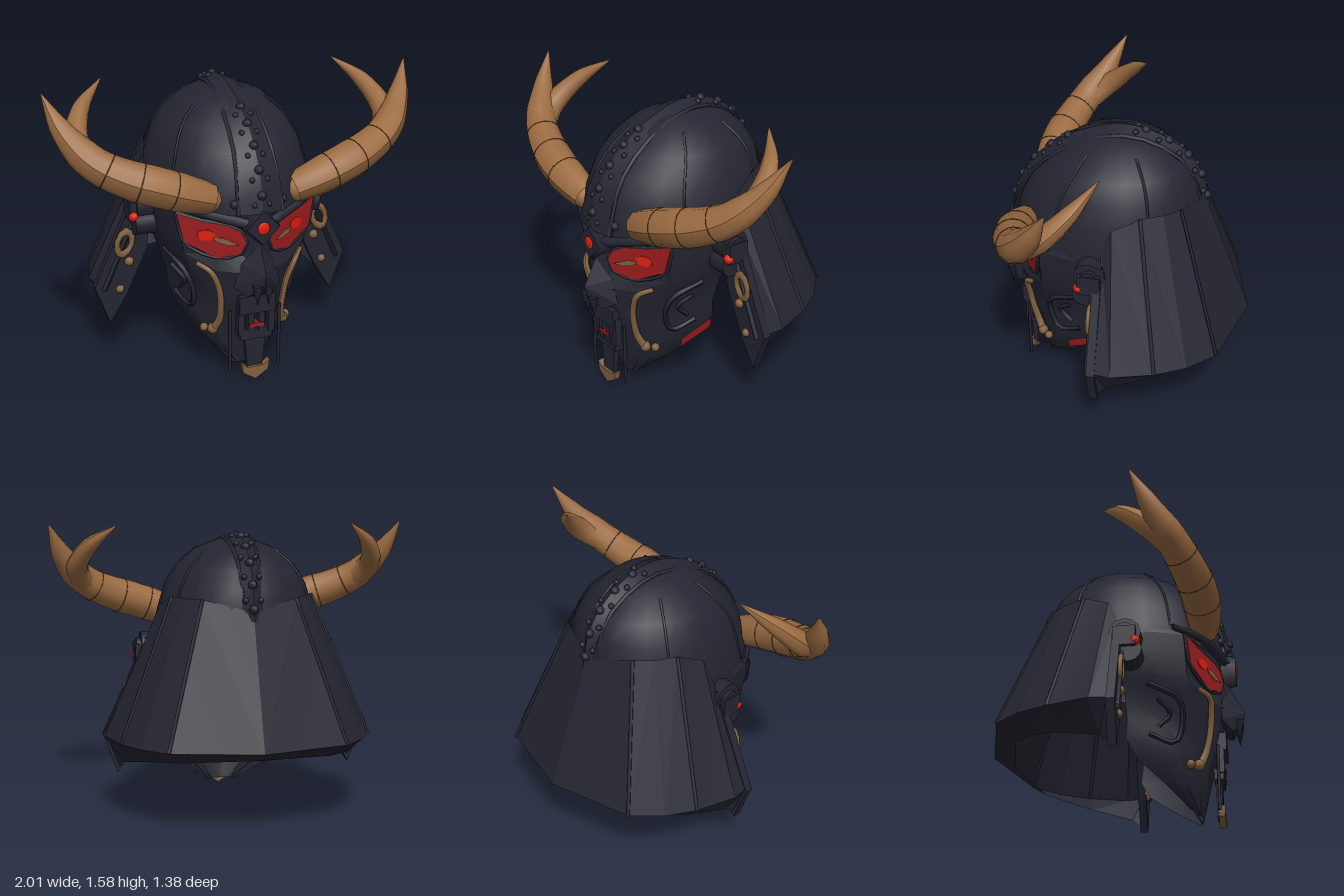
import * as THREE from 'three';
import { toCreasedNormals } from 'three/addons/utils/BufferGeometryUtils.js';
import { ConvexGeometry } from 'three/addons/geometries/ConvexGeometry.js';

const V = (p) => new THREE.Vector3(...p);
const material = (name, color, side = THREE.FrontSide) => {
  const m = new THREE.MeshStandardMaterial({ color, side });
  m.name = name;
  return m;
};

// Surface through rows of points, creased between steep facets
function loft(rows, crease = 0.45) {
  const n = rows[0].length, index = [];
  for (let r = 0; r < rows.length - 1; r++) {
    for (let c = 0; c < n - 1; c++) {
      const a = r * n + c, b = a + 1, d = a + n, e = d + 1;
      index.push(a, d, b, b, d, e);
    }
  }
  const g = new THREE.BufferGeometry();
  g.setAttribute('position', new THREE.Float32BufferAttribute(rows.flat(2), 3));
  g.setIndex(index);
  return toCreasedNormals(g, crease);
}

// Mirror a geometry in x, keeping its faces outward
function mirrored(geo) {
  const g = geo.index ? geo.toNonIndexed() : geo.clone();
  for (const key of ['position', 'normal']) {
    const a = g.attributes[key], old = a.array.slice();
    for (let i = 0; i < a.count; i++) {
      const j = i - (i % 3) + (2 - (i % 3));
      a.setXYZ(i, -old[j * 3], old[j * 3 + 1], old[j * 3 + 2]);
    }
  }
  return g;
}

// Tube whose radius follows a list of values
function taperedTube(points, radii, steps = 20, sides = 9) {
  const curve = new THREE.CatmullRomCurve3(points.map(V));
  const g = new THREE.TubeGeometry(curve, steps, 1, sides);
  const p = g.attributes.position, v = new THREE.Vector3();
  for (let i = 0; i < p.count; i++) {
    const t = Math.floor(i / (sides + 1)) / steps, c = curve.getPointAt(t);
    const f = t * (radii.length - 1), k = Math.min(Math.floor(f), radii.length - 2);
    const r = THREE.MathUtils.lerp(radii[k], radii[k + 1], f - k);
    v.fromBufferAttribute(p, i).sub(c).multiplyScalar(r).add(c);
    p.setXYZ(i, v.x, v.y, v.z);
  }
  g.computeVertexNormals();
  return g;
}

const cord = (points, r) => taperedTube(points, [r, r], 14, 6);
const box = (w, h, d, x, y, z) => new THREE.BoxGeometry(w, h, d).translate(x, y, z);
const ball = (r, x, y, z) => new THREE.SphereGeometry(r, 8, 6).translate(x, y, z);
const plate = (pts, depth) => new THREE.ExtrudeGeometry(
  new THREE.Shape(pts.map(([x, y]) => new THREE.Vector2(x, y))), { depth, bevelEnabled: false });

export function createModel() {
  const model = new THREE.Group();
  model.name = 'hornedWarMask';
  const dark = material('darkArmour', 0x242531, THREE.DoubleSide);
  const horn = material('hornBrown', 0x9c6c42);
  const groove = material('hornGroove', 0x6b482c);
  const tan = material('tanTrim', 0x80603f);
  const red = material('deepRed', 0x9c1c1e, THREE.DoubleSide);
  const glow = material('brightRed', 0xe0200f);
  const add = (name, geo, mat) => {
    const m = new THREE.Mesh(geo, mat);
    m.name = name;
    model.add(m);
  };
  const pair = (name, geo, mat) => {
    add(name + 'Left', geo, mat);
    add(name + 'Right', mirrored(geo), mat);
  };

  // Helmet dome: y, half width, front z, back z
  const domeRing = ([y, w, zf, zb]) => Array.from({ length: 25 }, (_, i) => {
    const a = (i / 24) * Math.PI * 2, c = Math.cos(a);
    return [w * Math.sin(a), y, 0.05 + c * (c > 0 ? zf - 0.05 : 0.05 - zb)];
  });
  add('dome', loft([[1.53, 0.005, 0.055, 0.045], [1.49, 0.12, 0.2, -0.13], [1.45, 0.22, 0.29, -0.22],
    [1.36, 0.325, 0.41, -0.33], [1.26, 0.385, 0.51, -0.385], [1.14, 0.42, 0.57, -0.41],
    [1.02, 0.45, 0.6, -0.42], [0.96, 0.455, 0.605, -0.42]].map(domeRing)), dark);

  // Central crest band with raised edges and studs
  const crest = new THREE.CatmullRomCurve3([[1.1, -0.43], [1.26, -0.395], [1.37, -0.33], [1.45, -0.23],
    [1.5, -0.12], [1.52, 0.05], [1.47, 0.22], [1.4, 0.36], [1.27, 0.5], [1.12, 0.585], [0.97, 0.62]]
    .map(([y, z]) => new THREE.Vector3(0, y, z)));
  const onCrest = (t, x, h) => {
    const p = crest.getPointAt(t), d = crest.getTangentAt(t);
    return [x, p.y + d.z * h, p.z - d.y * h];
  };
  const crestWidth = (t) => 0.035 + 0.085 * t;
  const crestRows = [];
  for (let i = 0; i <= 20; i++) {
    const t = i / 20, w = crestWidth(t);
    crestRows.push([[-w, -0.06], [-w, -0.008], [0, 0.022], [w, -0.008], [w, -0.06]]
      .map(([x, h]) => onCrest(t, x, h)));
  }
  add('crestBand', loft(crestRows), dark);
  pair('crestEdge', cord([0, 0.2, 0.4, 0.6, 0.8, 1].map((t) => onCrest(t, crestWidth(t), -0.01)), 0.011), dark);
  for (const t of [0.04, 0.12, 0.2, 0.28, 0.36, 0.63, 0.7, 0.78, 0.86, 0.94]) {
    add('crestStud', ball(0.025, ...onCrest(t, 0, 0.014)), dark);
    pair('smallStud', ball(0.016, ...onCrest(t + 0.03, 0.04, 0.006)), dark);
  }
  // Raised seams down the dome sides
  for (const s of [4, 8]) {
    pair('domeSeam', cord([[1.45, 0.22, 0.29, -0.22], [1.36, 0.325, 0.41, -0.33], [1.26, 0.385, 0.51, -0.385],
      [1.14, 0.42, 0.57, -0.41], [1.0, 0.45, 0.6, -0.42]].map((r) => domeRing(r)[s]), 0.007), dark);
  }

  // Flared neck guard with turned-in rim
  const top = [[0, 1.15, -0.425], [0.25, 1.21, -0.33], [0.32, 1.21, -0.25], [0.38, 1.21, -0.14],
    [0.425, 1.15, 0], [0.44, 1.05, 0.05]];
  const hem = [[0, 0.46, -0.69], [0.47, 0.46, -0.57], [0.595, 0.455, -0.43], [0.675, 0.45, -0.27],
    [0.74, 0.45, -0.05], [0.73, 0.45, 0.04]];
  const rim = [[0, 0.4, -0.57], [0.4, 0.385, -0.48], [0.5, 0.37, -0.37], [0.58, 0.345, -0.24],
    [0.64, 0.29, -0.01], [0.66, 0.22, 0.07]];
  pair('neckGuard', loft([top, hem, rim], 0.15), dark);
  for (const i of [1, 3]) pair('guardRidge', cord([top[i], hem[i]], 0.01), dark);
  // Front flaps with tan fittings
  pair('frontFlap', plate([[0.42, 0.95], [0.5, 0.97], [0.56, 0.83], [0.74, 0.44], [0.66, 0.22],
    [0.56, 0.38], [0.44, 0.64]], 0.045).translate(0, 0, 0.035), dark);
  pair('flapRail', cord([[0.52, 0.8, 0.085], [0.69, 0.42, 0.085]], 0.014), dark);
  pair('flapRing', new THREE.TorusGeometry(0.045, 0.018, 6, 10).scale(0.9, 1.45, 0.8)
    .rotateZ(0.3).translate(0.57, 0.685, 0.09), tan);
  pair('flapStud', ball(0.027, 0.545, 0.57, 0.08), tan);
  pair('lowerFlapStud', ball(0.024, 0.6, 0.415, 0.08), tan);

  // Hollow face shell: half rows from the centre outward, the top two lining the helmet
  const faceRows = [
    [1.18, [0, 0.46], [0.1, 0.44], [0.2, 0.37], [0.3, 0.28], [0.36, 0.2], [0.38, 0.05]],
    [1.02, [0, 0.57], [0.1, 0.54], [0.2, 0.42], [0.34, 0.33], [0.41, 0.22], [0.43, 0.05]],
    [0.95, [0, 0.61], [0.06, 0.565], [0.2, 0.49], [0.38, 0.4], [0.43, 0.25], [0.45, 0.05]],
    [0.84, [0, 0.61], [0.06, 0.555], [0.2, 0.485], [0.37, 0.4], [0.42, 0.25], [0.44, 0.06]],
    [0.72, [0, 0.62], [0.07, 0.55], [0.2, 0.485], [0.34, 0.405], [0.4, 0.25], [0.41, 0.07]],
    [0.64, [0, 0.62], [0.1, 0.58], [0.2, 0.51], [0.31, 0.41], [0.36, 0.25], [0.38, 0.08]],
    [0.5, [0, 0.57], [0.1, 0.55], [0.2, 0.48], [0.27, 0.37], [0.31, 0.25], [0.34, 0.09]],
    [0.4, [0, 0.55], [0.1, 0.53], [0.19, 0.45], [0.27, 0.35], [0.31, 0.25], [0.33, 0.08]],
    [0.3, [0, 0.51], [0.1, 0.49], [0.19, 0.43], [0.25, 0.36], [0.28, 0.26], [0.295, 0.13]],
    [0.18, [0, 0.48], [0.08, 0.47], [0.14, 0.44], [0.19, 0.38], [0.21, 0.33], [0.22, 0.27]],
    [0.05, [0, 0.45], [0.03, 0.445], [0.06, 0.44], [0.08, 0.435], [0.08, 0.43], [0.08, 0.42]],
  ].map(([y, ...pts]) => pts.map(([x, z]) => [x, y, z]));
  pair('faceShell', loft(faceRows, 0.35), dark);
  pair('cheekRidge', cord([[0.385, 0.68, 0.2], [0.325, 0.6, 0.36], [0.28, 0.48, 0.37], [0.28, 0.38, 0.33],
    [0.322, 0.42, 0.2]], 0.014), dark);
  pair('innerCheekRidge', cord([[0.36, 0.6, 0.25], [0.31, 0.53, 0.31], [0.315, 0.46, 0.25]], 0.012), dark);
  add('jawStripe', loft([[[0.343, 0.395, 0.1], [0.302, 0.31, 0.275]],
    [[0.33, 0.33, 0.1], [0.288, 0.25, 0.275]]]), red);

  // Eyes: thin plates slanting back, with a bright iris and a tan glint
  const slant = (g, lift) => {
    const p = g.attributes.position;
    for (let i = 0; i < p.count; i++) p.setZ(i, p.getZ(i) + 0.605 + lift - 0.53 * p.getX(i));
    g.computeVertexNormals();
    return g;
  };
  const eye = [[0.385, 0.95], [0.27, 0.915], [0.12, 0.885], [0.06, 0.83], [0.085, 0.74], [0.2, 0.71], [0.35, 0.79]];
  const oval = (x, y, rx, ry) => Array.from({ length: 10 }, (_, i) =>
    [x + rx * Math.cos(i * Math.PI / 5), y + ry * Math.sin(i * Math.PI / 5)]);
  pair('eye', slant(plate(eye, 0.009), 0), red);
  pair('eyeLining', slant(plate(eye, 0.009), -0.045), red);
  pair('iris', slant(plate(oval(0.25, 0.835, 0.042, 0.03), 0.004), 0.009), glow);
  pair('eyeGlint', slant(plate([[0.22, 0.825], [0.17, 0.825], [0.1, 0.79], [0.15, 0.785], [0.2, 0.8]], 0.004), 0.013), tan);
  pair('eyeRim', cord([...eye, eye[0]].map(([x, y]) => [x, y, 0.606 - 0.53 * x]), 0.009), dark);
  pair('brow', taperedTube([[0.03, 0.9, 0.61], [0.13, 0.93, 0.57], [0.28, 0.965, 0.49], [0.41, 0.99, 0.34]],
    [0.03, 0.024, 0.015]), dark);

  // Forehead plate and gem
  add('foreheadPlate', new THREE.CylinderGeometry(0.09, 0.11, 0.08, 4).rotateX(Math.PI / 2)
    .translate(0, 0.9, 0.61), dark);
  add('foreheadGem', new THREE.SphereGeometry(0.034, 10, 8).scale(1, 1, 0.25).translate(0, 0.9, 0.65), glow);
  pair('foreheadStud', ball(0.024, 0.13, 1.02, 0.575), dark);

  // Nose
  const nose = [[0, 0.8, 0.61], [0, 0.65, 0.69], [0, 0.57, 0.67], [0, 0.6, 0.5]];
  for (const s of [-1, 1]) nose.push([s * 0.09, 0.69, 0.57], [s * 0.13, 0.56, 0.57], [s * 0.07, 0.52, 0.62]);
  add('nose', new ConvexGeometry(nose.map(V)), dark);
  pair('nostrilFang', new THREE.ConeGeometry(0.03, 0.12, 5).rotateX(Math.PI).translate(0.03, 0.53, 0.655), dark);

  // Mouth guard, hanging rods and chin tip
  add('upperMouthGuard', box(0.2, 0.1, 0.06, 0, 0.45, 0.555), dark);
  add('mouthSlit', box(0.08, 0.022, 0.05, 0, 0.325, 0.55), red);
  for (const x of [0.03, 0.085]) pair('mouthBar', box(0.035, 0.17, 0.04, x, 0.36, 0.55), dark);
  add('lowerMouthGuard', box(0.18, 0.06, 0.05, 0, 0.27, 0.54), dark);
  add('chinPlate', plate([[-0.06, 0.26], [-0.04, 0.05], [0.04, 0.05], [0.06, 0.26]], 0.03).translate(0, 0, 0.52), dark);
  add('chinTip', plate([[-0.08, 0.1], [-0.07, 0.045], [0, 0], [0.07, 0.045], [0.08, 0.1], [0.045, 0.075],
    [-0.045, 0.075]], 0.035).translate(0, 0, 0.53), tan);
  pair('hangingRod', new THREE.CylinderGeometry(0.009, 0.009, 0.36, 6).translate(0.14, 0.235, 0.54), dark);

  // Tan cheek straps
  pair('cheekStrap', taperedTube([[0.29, 0.675, 0.455], [0.235, 0.64, 0.515], [0.19, 0.54, 0.515],
    [0.175, 0.43, 0.5], [0.175, 0.34, 0.475], [0.195, 0.285, 0.45]], [0.013, 0.017, 0.017, 0.022]), tan);
  pair('strapEnd', ball(0.03, 0.2, 0.28, 0.445), tan);
  pair('strapFoot', ball(0.024, 0.235, 0.275, 0.405), tan);

  // Ear hubs with red bolts
  const hub = (r, h, x, y, z) => new THREE.CylinderGeometry(r, r, h, 12).rotateZ(Math.PI / 2).translate(x, y, z);
  pair('earHub', hub(0.085, 0.1, 0.47, 0.91, 0.1), dark);
  pair('earCap', hub(0.05, 0.14, 0.475, 0.91, 0.1), dark);
  pair('lowerEarHub', hub(0.07, 0.12, 0.47, 0.81, 0.12), dark);
  pair('earBlock', box(0.09, 0.11, 0.12, 0.51, 0.88, 0.1), dark);
  pair('earBolt', ball(0.028, 0.535, 0.855, 0.155), glow);

  // Forked horns
  const beam = [[0.23, 1.035, 0.49], [0.34, 1.075, 0.5], [0.5, 1.13, 0.49], [0.66, 1.185, 0.45], [0.8, 1.26, 0.39],
    [0.92, 1.4, 0.29], [1, 1.58, 0.19]];
  const radii = [0.082, 0.1, 0.102, 0.092, 0.082, 0.05, 0.003];
  pair('horn', taperedTube(beam, radii, 24, 10), horn);
  pair('hornPlug', ball(0.075, 0.24, 1.035, 0.49), horn);
  pair('hornProng', taperedTube([[0.79, 1.24, 0.39], [0.845, 1.33, 0.27], [0.79, 1.46, 0.13], [0.65, 1.58, 0.01]],
    [0.07, 0.062, 0.042, 0.003], 14, 8), horn);
  // Growth rings around the horns
  const beamCurve = new THREE.CatmullRomCurve3(beam.map(V));
  for (const [t, r] of [[0.2, 0.1], [0.36, 0.101], [0.52, 0.091]]) {
    const q = new THREE.Quaternion().setFromUnitVectors(V([0, 0, 1]), beamCurve.getTangentAt(t));
    const p = beamCurve.getPointAt(t);
    pair('hornRing', new THREE.TorusGeometry(r, 0.0025, 4, 20).applyQuaternion(q).translate(p.x, p.y, p.z), groove);
  }
  return model;
}
